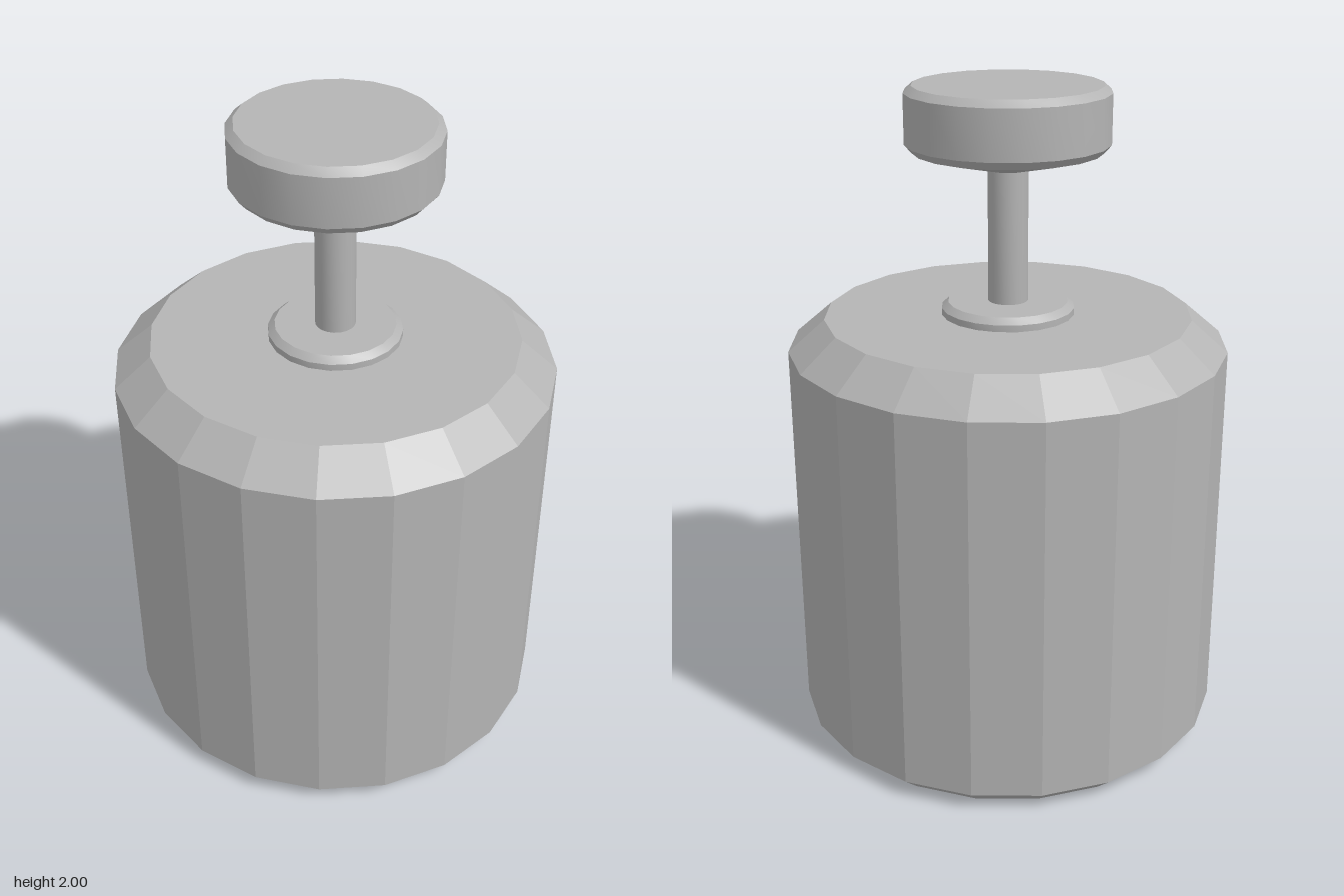
import * as THREE from 'three';
import { toCreasedNormals } from 'three/addons/utils/BufferGeometryUtils.js';

const SIDES = 20;
const FACETED = 0.1; // every side stays flat
const SMOOTH = 0.4; // round sides blend, chamfers stay sharp

export function createModel() {
  const model = new THREE.Group();
  model.name = 'weightWithKnob';

  const metal = new THREE.MeshStandardMaterial({ color: 0xb4b4b4 });
  metal.name = 'grey metal';

  // Turned part from [radius, height] points, listed bottom to top
  function turned(name, profile, crease) {
    const points = profile.map(([r, y]) => new THREE.Vector2(r, y));
    const geometry = toCreasedNormals(new THREE.LatheGeometry(points, SIDES), crease);
    const mesh = new THREE.Mesh(geometry, metal);
    mesh.name = name;
    model.add(mesh);
  }

  // Heavy cylinder with a small lower and a wide upper chamfer
  turned('body', [[0, 0], [0.6, 0], [0.66, 0.055], [0.66, 1.23], [0.55, 1.325], [0, 1.325]], FACETED);

  // Thin disc at the foot of the stem
  turned('collar', [[0.2, 1.325], [0.2, 1.345], [0.18, 1.363], [0, 1.363]], SMOOTH);

  // Slim stem
  turned('stem', [[0.06, 1.363], [0.06, 1.757]], SMOOTH);

  // Grip with a conical underside and bevelled rims
  turned('knob', [[0, 1.757], [0.06, 1.757], [0.28, 1.812], [0.3, 1.835], [0.3, 1.98], [0.277, 2], [0, 2]], SMOOTH);

  return model;
}
